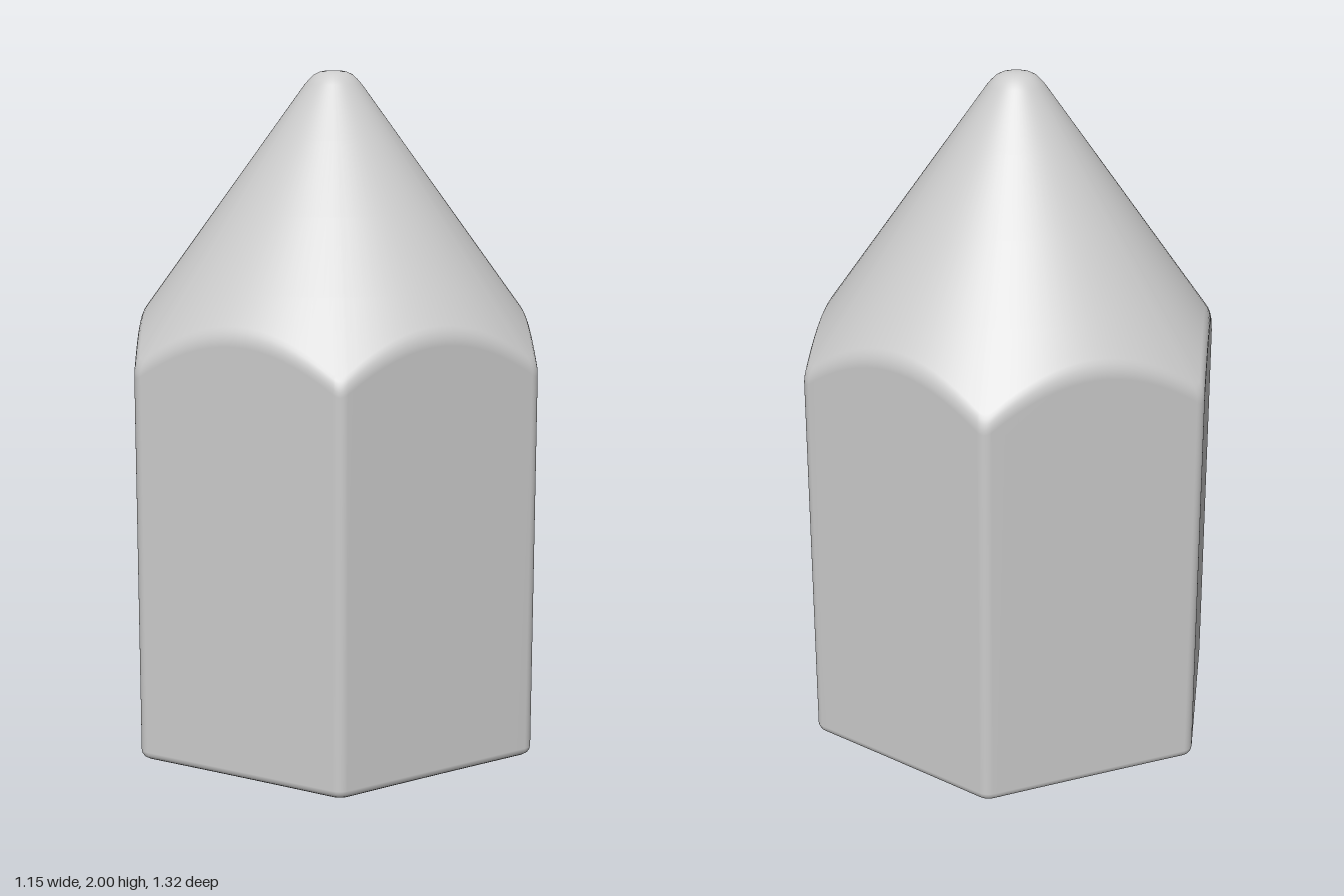
import * as THREE from 'three';

const APOTHEM = 0.577, CORNER = 0.04;      // hexagon half width, corner rounding
const APEX = 2.076, SLOPE = 1.374;         // cone height at radius r: APEX - SLOPE * r
const coneY = r => APEX - SLOPE * r;

// Rounded hexagon with corners on +z and -z, counter-clockwise from above
function hexOutline() {
  const points = [], reach = (APOTHEM - CORNER) / Math.cos(Math.PI / 6);
  const arcSteps = 6, faceSteps = 16;
  const at = (corner, turn) => {
    const a = corner * Math.PI / 3, b = a + turn;
    return new THREE.Vector2(
      reach * Math.sin(a) + CORNER * Math.sin(b),
      reach * Math.cos(a) + CORNER * Math.cos(b));
  };
  for (let c = 0; c < 6; c++) {
    for (let i = 0; i <= arcSteps; i++) points.push(at(c, (i / arcSteps - 0.5) * Math.PI / 3));
    const from = at(c, Math.PI / 6), to = at(c + 1, -Math.PI / 6);
    for (let i = 1; i < faceSteps; i++) points.push(from.clone().lerp(to, i / faceSteps));
  }
  return points;
}

// Upright section [radius, height] for an outline point at distance r
function section(r) {
  const y = coneY(r), b = 0.025;
  return [
    [r - b, 0], [r - b * 0.62, b * 0.08], [r - b * 0.29, b * 0.29], [r - b * 0.08, b * 0.62], [r, b],
    // softened edge between wall and cone
    [r, y - 0.03], [r - 0.0011, y - 0.0153], [r - 0.0044, y - 0.0014], [r - 0.0099, y + 0.0121], [r - 0.0176, y + 0.0243],
    // cone
    [0.5, coneY(0.5)], [0.35, coneY(0.35)], [0.2, coneY(0.2)],
    // rounded tip
    [0.085, coneY(0.085)], [0.072, 1.974], [0.057, 1.988], [0.04, 1.996], [0.02, 2]
  ];
}

function bodyGeometry() {
  const outline = hexOutline(), n = outline.length, rows = section(APOTHEM).length;
  const positions = [], index = [];
  for (const p of outline) {
    const r = p.length();
    for (const [radius, y] of section(r)) positions.push(p.x / r * radius, y, p.y / r * radius);
  }
  const base = n * rows, tip = base + 1;
  positions.push(0, 0, 0, 0, 2, 0);
  for (let j = 0; j < n; j++) {
    const a = j * rows, b = ((j + 1) % n) * rows;
    for (let i = 0; i < rows - 1; i++) {
      index.push(a + i, b + i, b + i + 1, a + i, b + i + 1, a + i + 1);
    }
    index.push(base, b, a, tip, a + rows - 1, b + rows - 1);
  }
  const geometry = new THREE.BufferGeometry();
  geometry.setAttribute('position', new THREE.Float32BufferAttribute(positions, 3));
  geometry.setIndex(index);
  geometry.computeVertexNormals();
  return geometry;
}

export function createModel() {
  const group = new THREE.Group();
  group.name = 'pointedHexagonalPrism';
  // Hexagonal body and conical point in one continuous skin
  const body = new THREE.Mesh(bodyGeometry(), new THREE.MeshStandardMaterial({ color: 0xcccccc }));
  body.name = 'bodyWithConicalPoint';
  group.add(body);
  return group;
}
